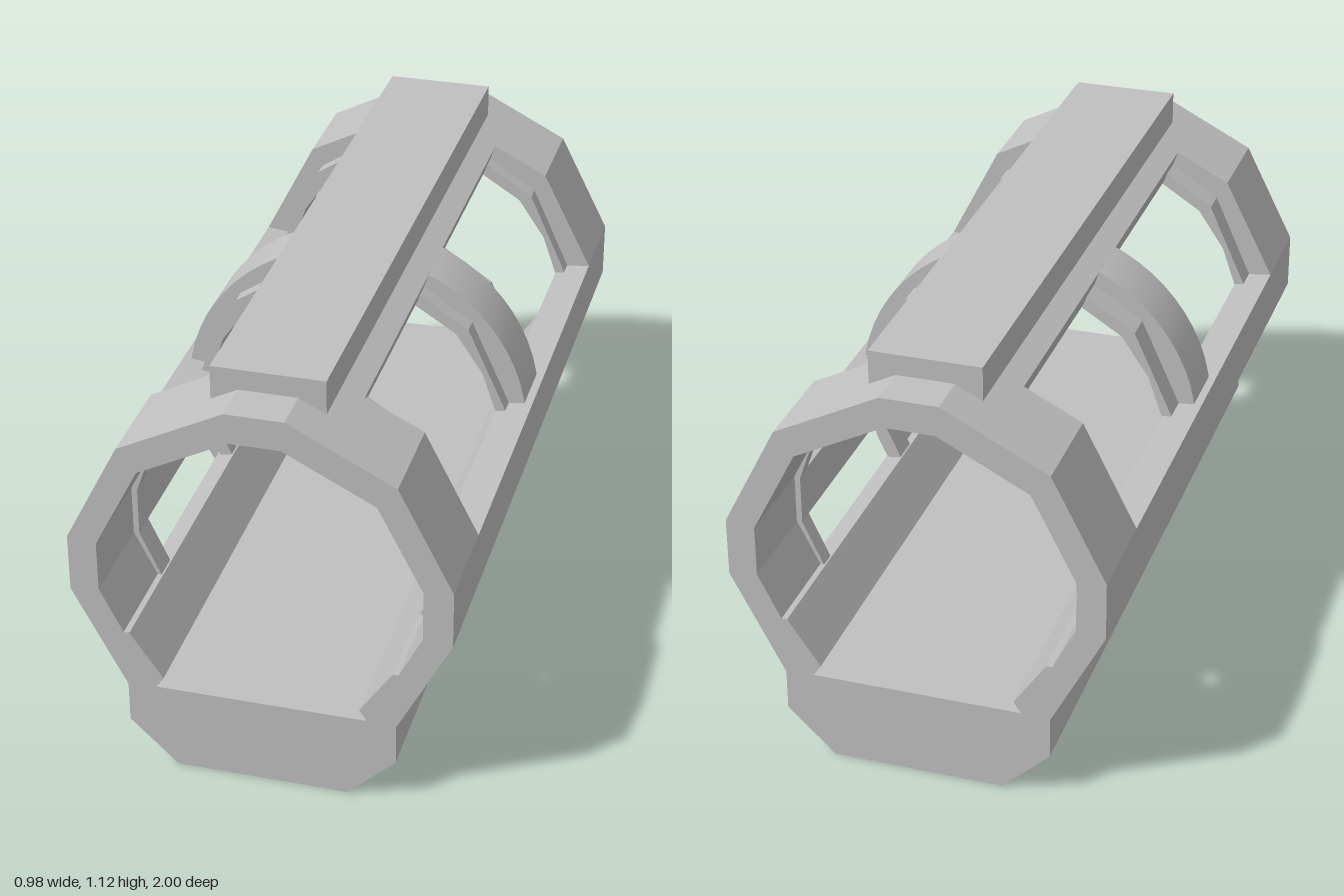
import * as THREE from 'three';
import { toCreasedNormals } from 'three/addons/utils/BufferGeometryUtils.js';

const END = 0.735; // inner face of the end collars

const shapeOf = (pts) => new THREE.Shape(pts.map(([x, y]) => new THREE.Vector2(x, y)));
const mirrorX = (pts) => pts.map(([x, y]) => [-x, y]).reverse();
const symmetric = (half) => [...half, ...mirrorX(half)];

export function createModel() {
  const model = new THREE.Group();
  model.name = 'railedFrame';
  const grey = new THREE.MeshStandardMaterial({ color: 0xbfbfbf });
  grey.name = 'grey';

  // Extrude a front-view outline between two z positions
  function slab(name, shape, z0, z1, smooth = false) {
    let geo = new THREE.ExtrudeGeometry(shape, { depth: z1 - z0, bevelEnabled: false, curveSegments: 24 });
    geo.translate(0, 0, z0);
    if (smooth) geo = toCreasedNormals(geo, 0.6);
    const mesh = new THREE.Mesh(geo, grey);
    mesh.name = name;
    model.add(mesh);
  }

  // Faceted end collars, floor included
  const outer = symmetric([[0.225, 0], [0.35, 0.12], [0.35, 0.23], [0.49, 0.5], [0.49, 0.655], [0.35, 0.93], [0.075, 1.07]]);
  const inner = symmetric([[0.275, 0.235], [0.255, 0.265], [0.34, 0.39], [0.355, 0.39], [0.415, 0.51], [0.415, 0.645], [0.3, 0.87], [0.065, 0.99]]);
  const collar = shapeOf(outer);
  collar.holes.push(new THREE.Path(inner.map(([x, y]) => new THREE.Vector2(x, y))));
  slab('frontCollar', collar, END, 1);
  slab('backCollar', collar, -1, -END);

  // Floor between the collars
  slab('floor', shapeOf(symmetric([[0.225, 0], [0.35, 0.12], [0.35, 0.235]])), -END, END);

  // Roof beam between the collars
  slab('roofBeam', shapeOf(symmetric([[0.12, 0.965], [0.18, 0.945], [0.2, 1.006], [0.075, 1.07]])), -END, END);

  // Flat rail on top
  const rail = new THREE.Mesh(new THREE.BoxGeometry(0.29, 0.09, 1.764), grey);
  rail.position.y = 1.08;
  rail.name = 'topRail';
  model.add(rail);

  // Parts on both sides
  const sideRail = [[0.4, 0.51], [0.485, 0.5], [0.49, 0.5], [0.49, 0.655], [0.4, 0.645]];
  const lowerWall = [[0.255, 0.265], [0.275, 0.235], [0.3, 0.235], [0.388, 0.38], [0.34, 0.39]];
  const rib = [
    [0.335, 0.37], [0.37, 0.36], [0.425, 0.5], [0.425, 0.65], [0.32, 0.88], [0.16, 0.985],
    [0.15, 0.95], [0.285, 0.865], [0.36, 0.755], [0.4, 0.64], [0.4, 0.51], [0.345, 0.39],
  ];
  const ribSpans = [[0.665, END], [0.08, 0.125], [-0.155, -0.08], [-END, -0.69]];
  for (const [side, flip] of [['left', (p) => p], ['right', mirrorX]]) {
    slab(side + 'SideRail', shapeOf(flip(sideRail)), -END, END);
    slab(side + 'LowerWall', shapeOf(flip(lowerWall)), -END, END);
    ribSpans.forEach(([a, b], i) => slab(side + 'WindowRib' + (i + 1), shapeOf(flip(rib)), a, b));
  }

  // Round middle hoop, open at the floor
  const hoop = new THREE.Shape();
  const start = -0.8;
  hoop.absarc(0, 0.575, 0.475, start, Math.PI - start, false);
  hoop.absarc(0, 0.575, 0.41, Math.PI - start, start, true);
  slab('middleHoop', hoop, -0.08, 0.08, true);

  return model;
}
